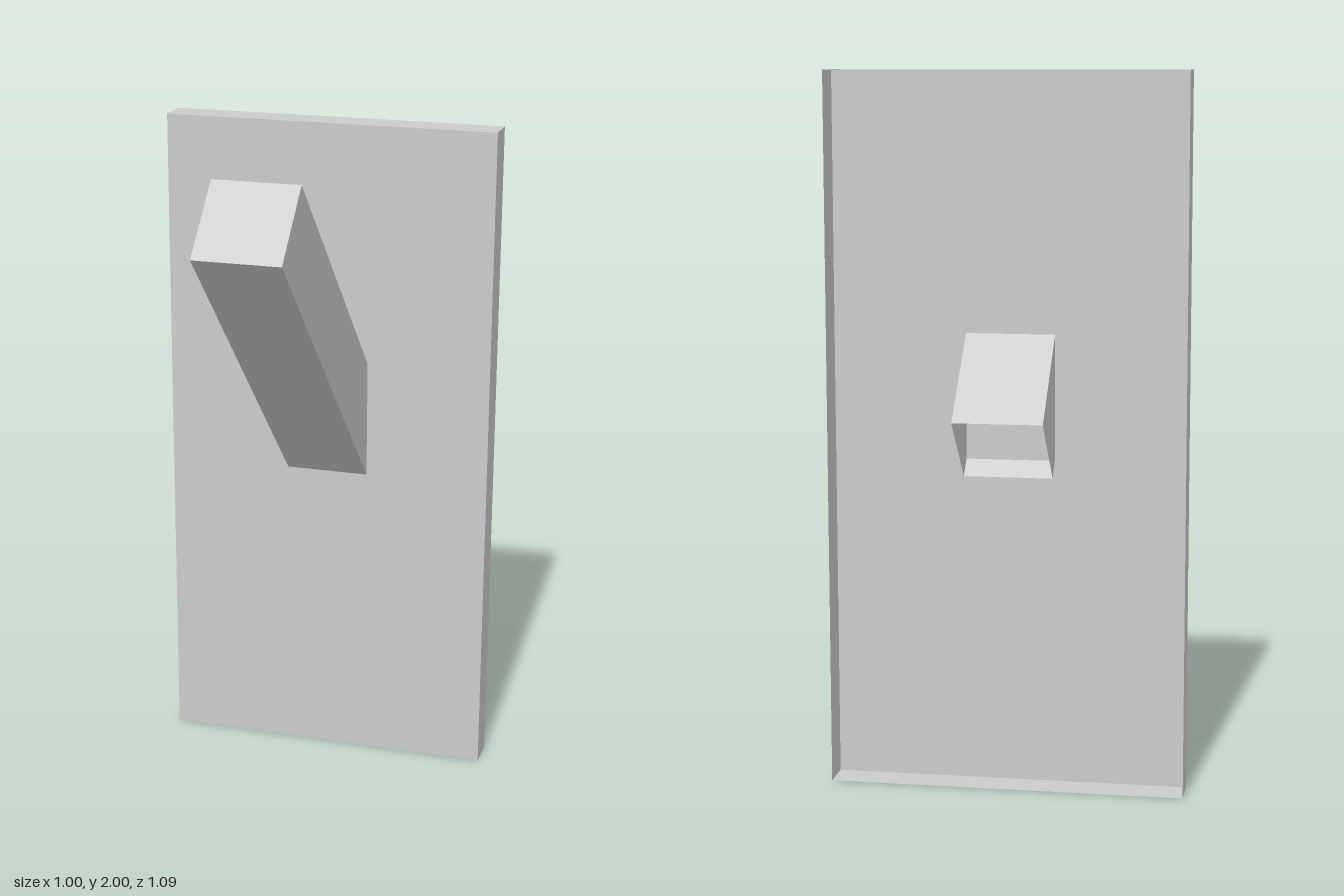
import * as THREE from 'three';

const material = new THREE.MeshStandardMaterial({ color: 0xcccccc, flatShading: true, side: THREE.DoubleSide });

// Thin-walled box with its -z (back) face left open
function openBox(name, width, height, depth) {
  const geometry = new THREE.BoxGeometry(width, height, depth);
  geometry.setIndex(Array.from(geometry.index.array).slice(0, 30));
  geometry.clearGroups();
  const mesh = new THREE.Mesh(geometry, material);
  mesh.name = name;
  return mesh;
}

export function createModel() {
  const group = new THREE.Group();
  group.name = 'wallLever';

  // Upright plate, hollow at the back
  const plate = openBox('backPlate', 1, 2, 0.098);
  plate.position.set(0, 1, -0.376);

  // Square arm rising forward at 45 degrees, its open lower end passing through the plate
  const arm = openBox('slantedArm', 0.25, 0.25, 1.295);
  arm.rotation.x = -Math.PI / 4;
  arm.position.set(0, 1.428, 0);

  group.add(plate, arm);
  return group;
}
